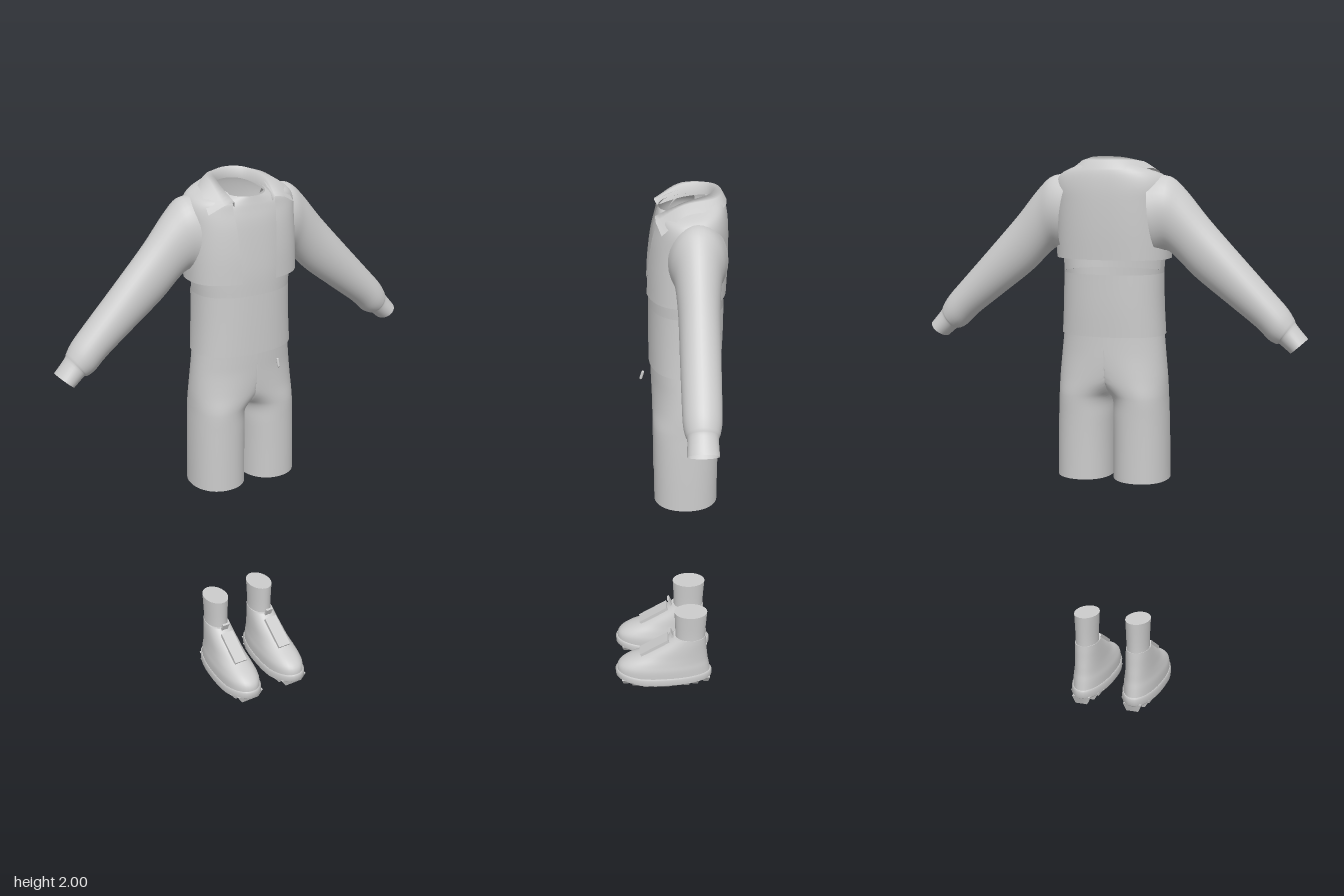
import * as THREE from 'three';
import { mergeVertices } from 'three/addons/utils/BufferGeometryUtils.js';

const grey = new THREE.MeshStandardMaterial({ color: 0xcccccc, side: THREE.DoubleSide });

function mesh(name, geometry, parent) {
  const m = new THREE.Mesh(geometry, grey);
  m.name = name;
  parent.add(m);
  return m;
}

// Catmull-Rom interpolation of rows of numbers
function smooth(rows, steps) {
  const out = [];
  for (let i = 0; i < rows.length - 1; i++) {
    const [p, a, b, q] = [rows[Math.max(i - 1, 0)], rows[i], rows[i + 1], rows[Math.min(i + 2, rows.length - 1)]];
    for (let s = 0; s < steps; s++) {
      const t = s / steps;
      out.push(a.map((v, k) => v + 0.5 * t * (b[k] - p[k] + t * (2 * p[k] - 5 * v + 4 * b[k] - q[k] + t * (3 * (v - b[k]) + q[k] - p[k])))));
    }
  }
  out.push(rows[rows.length - 1]);
  return out;
}

// Skin over rings of points; faces lying on the middle plane can be left out
function loft(rings, { closed = true, caps = false, skipMiddle = false } = {}) {
  const n = rings[0].length, pos = rings.flat(2), index = [];
  const x = (i) => pos[i * 3];
  for (let r = 0; r < rings.length - 1; r++) {
    for (let j = 0; j < (closed ? n : n - 1); j++) {
      const a = r * n + j, b = r * n + (j + 1) % n, c = b + n, d = a + n;
      if (skipMiddle && [a, b, c, d].every((i) => Math.abs(x(i)) < 1e-4)) continue;
      index.push(a, b, c, a, c, d);
    }
  }
  if (caps) {
    [rings[0], rings[rings.length - 1]].forEach((ring, top) => {
      const start = pos.length / 3;
      pos.push(...ring.flat());
      for (let j = 1; j < n - 1; j++) index.push(start, start + (top ? j : j + 1), start + (top ? j + 1 : j));
    });
  }
  const g = new THREE.BufferGeometry();
  g.setAttribute('position', new THREE.Float32BufferAttribute(pos, 3));
  g.setIndex(index);
  g.computeVertexNormals();
  return g;
}

const pw = (v, e) => Math.sign(v) * Math.abs(v) ** e;

// Rounded horizontal ring, starting at the front and turning towards +x
function ring(y, rx, zf, zb, { cx = 0, n = 2.3, from = 0, to = 2 * Math.PI, seg = 48, tilt = 0, closed = true } = {}) {
  const pts = [];
  for (let j = 0; j < (closed ? seg : seg + 1); j++) {
    const a = from + (to - from) * j / seg, s = Math.sin(a), c = Math.cos(a);
    pts.push([cx + rx * pw(s, 2 / n), y - tilt * c, (zf + zb) / 2 + (zf - zb) / 2 * pw(c, 2 / n)]);
  }
  return pts;
}

function buildJacket(parent) {
  const jacket = new THREE.Group();
  jacket.name = 'jacket';
  parent.add(jacket);

  // Body, open down the front: y, half width, front z, back z, tilt, half gap
  const body = smooth([
    [1.66, 0.2, 0.07, -0.2, 0, 0.065], [1.75, 0.2, 0.066, -0.203, 0, 0.07],
    [1.84, 0.2, 0.055, -0.203, 0, 0.075], [1.9, 0.2, 0.041, -0.2, 0.002, 0.08],
    [1.938, 0.178, 0.036, -0.192, 0.012, 0.08], [1.957, 0.125, 0.032, -0.178, 0.022, 0.078],
    [1.967, 0.085, 0.03, -0.165, 0.028, 0.075],
  ], 4).map(([y, rx, zf, zb, tilt, gap]) => {
    const a = Math.asin(Math.min(gap / rx, 1) ** 1.2);
    return ring(y, rx, zf, zb, { n: 2.4, from: a, to: 2 * Math.PI - a, seg: 64, tilt, closed: false });
  });
  mesh('jacketBody', loft(body, { closed: false }), jacket);

  // Collar: stand, fold, and flap ending in a front point
  const edges = [
    [[0.074, 1.915, 0.028], [0.08, 1.94, -0.06], [0.055, 1.955, -0.14], [0, 1.96, -0.16]],
    [[0.078, 1.932, 0.037], [0.088, 1.978, -0.05], [0.06, 1.996, -0.135], [0, 2.0, -0.158]],
    [[0.115, 1.925, 0.036], [0.112, 1.977, -0.05], [0.075, 1.987, -0.155], [0, 1.987, -0.18]],
    [[0.165, 1.896, 0.018], [0.15, 1.955, -0.055], [0.1, 1.957, -0.168], [0, 1.957, -0.196]],
  ].map((half) => {
    const all = [...half, ...half.slice(0, 3).reverse().map(([x, y, z]) => [-x, y, z])];
    return new THREE.CatmullRomCurve3(all.map((p) => new THREE.Vector3(...p))).getPoints(40).map((p) => p.toArray());
  });
  mesh('collar', loft(edges, { closed: false }), jacket);

  // Sleeves with gathered cuffs: upper x, y, lower x, y, half depth
  const sleeve = [
    [0.14, 1.935, 0.17, 1.68, 0.1], [0.205, 1.935, 0.2, 1.69, 0.088], [0.26, 1.89, 0.235, 1.665, 0.074],
    [0.34, 1.797, 0.3, 1.603, 0.066], [0.45, 1.68, 0.41, 1.52, 0.064], [0.56, 1.565, 0.51, 1.445, 0.062],
    [0.612, 1.51, 0.555, 1.403, 0.06], [0.636, 1.475, 0.583, 1.389, 0.053],
    [0.646, 1.455, 0.592, 1.39, 0.048], [0.685, 1.41, 0.63, 1.36, 0.05],
  ];
  const rings = smooth(sleeve, 4).map(([ux, uy, lx, ly, rz]) => {
    const pts = [];
    for (let j = 0; j < 32; j++) {
      const a = j / 32 * 2 * Math.PI, c = Math.cos(a) / 2;
      pts.push([(ux + lx) / 2 + (ux - lx) * c, (uy + ly) / 2 + (uy - ly) * c, -0.095 + rz * Math.sin(a)]);
    }
    return pts.reverse();
  });
  const sleeveShape = loft(rings);
  mesh('leftSleeve', sleeveShape, jacket);
  mesh('rightSleeve', sleeveShape, jacket).scale.x = -1;
}

function buildShirt(parent) {
  // Waist goes all round; above it only the front panel continues to the neck
  const waist = smooth([[1.397, 0.184, 0.061, -0.191], [1.5, 0.178, 0.061, -0.194], [1.61, 0.175, 0.06, -0.194]], 3);
  mesh('shirtWaist', loft(waist.map((r) => ring(...r))), parent);
  const panel = smooth([
    [1.61, 0.175, 0.06, -0.194, 0], [1.7, 0.18, 0.059, -0.19, 0], [1.84, 0.18, 0.047, -0.19, 0],
    [1.9, 0.172, 0.035, -0.188, 0], [1.93, 0.13, 0.029, -0.175, 0.006], [1.95, 0.08, 0.025, -0.158, 0.01],
  ], 4).map(([y, rx, zf, zb, tilt]) => ring(y, rx, zf, zb, { from: -1.75, to: 1.75, seg: 40, tilt, closed: false }));
  mesh('shirtFront', loft(panel, { closed: false }), parent);
}

function buildShorts(parent) {
  // Each leg widens into half of the hips: y, centre x, half width, front z, back z
  const rows = smooth([
    [0.88, 0.105, 0.1, 0.045, -0.18], [1.0, 0.104, 0.099, 0.046, -0.18], [1.1, 0.102, 0.098, 0.047, -0.181],
    [1.165, 0.1, 0.097, 0.048, -0.183], [1.2, 0.086, 0.11, 0.049, -0.185], [1.25, 0.048, 0.146, 0.05, -0.187],
    [1.32, 0.008, 0.18, 0.053, -0.188], [1.37, 0, 0.183, 0.055, -0.187], [1.41, 0, 0.179, 0.056, -0.186],
  ], 5);
  const leg = rows.map(([y, cx, rx, zf, zb]) =>
    ring(y, rx, zf, zb, { cx, n: 2.15 }).map(([x, py, z]) => [Math.max(x, 0), py, z]));
  const g = mergeVertices(loft(leg, { skipMiddle: true }));
  mesh('leftShortsLeg', g, parent);
  mesh('rightShortsLeg', g, parent).scale.x = -1;

  // Zip pull
  const pull = mesh('zipPull', new THREE.CapsuleGeometry(0.005, 0.024, 4, 8), parent);
  pull.position.set(0.066, 1.357, 0.085);
  pull.rotation.x = -0.3;
}

function buildBoot(name, side, parent) {
  const boot = new THREE.Group();
  boot.name = name;
  boot.position.x = side * 0.1;
  boot.scale.x = side;
  parent.add(boot);

  // Narrower at the heel than at the toe
  const foot = (r) => ring(...r, { n: 2.25, seg: 40 }).map(([x, y, z]) => [x * (0.9 + 0.6 * THREE.MathUtils.clamp(z, -0.17, 0.15)), y, z]);
  const upper = smooth([
    [0.045, 0.077, 0.197, -0.174], [0.085, 0.076, 0.194, -0.168], [0.112, 0.07, 0.165, -0.163],
    [0.14, 0.064, 0.105, -0.16], [0.17, 0.06, 0.055, -0.157], [0.2, 0.056, 0.008, -0.155], [0.225, 0.052, -0.025, -0.153],
  ], 4);
  mesh('bootUpper', loft(upper.map(foot), { caps: true }), boot);

  const shaft = [[0.18, 0.043, -0.034, -0.151], [0.25, 0.042, -0.034, -0.152], [0.34, 0.046, -0.03, -0.158]];
  mesh('bootShaft', loft(smooth(shaft, 4).map((r) => ring(...r, { n: 2, seg: 32 })), { caps: true }), boot);

  // Sole with a rounded welt, lifted a little at the toe
  const sole = [[0.022, 0.079, 0.195, -0.172], [0.028, 0.083, 0.203, -0.18], [0.05, 0.082, 0.204, -0.18], [0.056, 0.078, 0.199, -0.176]]
    .map(foot).map((pts) => pts.map(([x, y, z]) => [x, y + 0.012 * Math.max(0, (z - 0.1) / 0.1), z]));
  mesh('sole', loft(sole, { caps: true }), boot);

  // Tread lugs: heel pair, arch gap, then the forefoot
  for (const z of [-0.157, -0.113, -0.078, 0.0, 0.042, 0.084, 0.126, 0.163]) {
    const half = 0.081 * (0.9 + 0.6 * z) * (1 - Math.abs((z - 0.012) / 0.19) ** 2.25) ** 0.44;
    const lug = mesh('treadLug', new THREE.CylinderGeometry(0.021, 0.014, 0.03, 4, 1).rotateY(Math.PI / 4), boot);
    lug.scale.x = half / 0.0148;
    lug.position.set(0, 0.015 + Math.max(0, z - 0.09) * 0.12, z);
  }

  // Tongue panel lying on the instep, and its raised tab
  const tongue = mesh('tongue', new THREE.BoxGeometry(0.05, 0.014, 0.13), boot);
  tongue.position.set(0, 0.177, 0.048);
  tongue.rotation.x = 0.57;
  const tab = mesh('tongueTab', new THREE.BoxGeometry(0.028, 0.045, 0.008), boot);
  tab.position.set(0, 0.23, -0.02);
  tab.rotation.x = 0.4;
}

export function createModel() {
  const model = new THREE.Group();
  model.name = 'outfit';
  buildJacket(model);
  buildShirt(model);
  buildShorts(model);
  buildBoot('leftBoot', 1, model);
  buildBoot('rightBoot', -1, model);
  return model;
}
